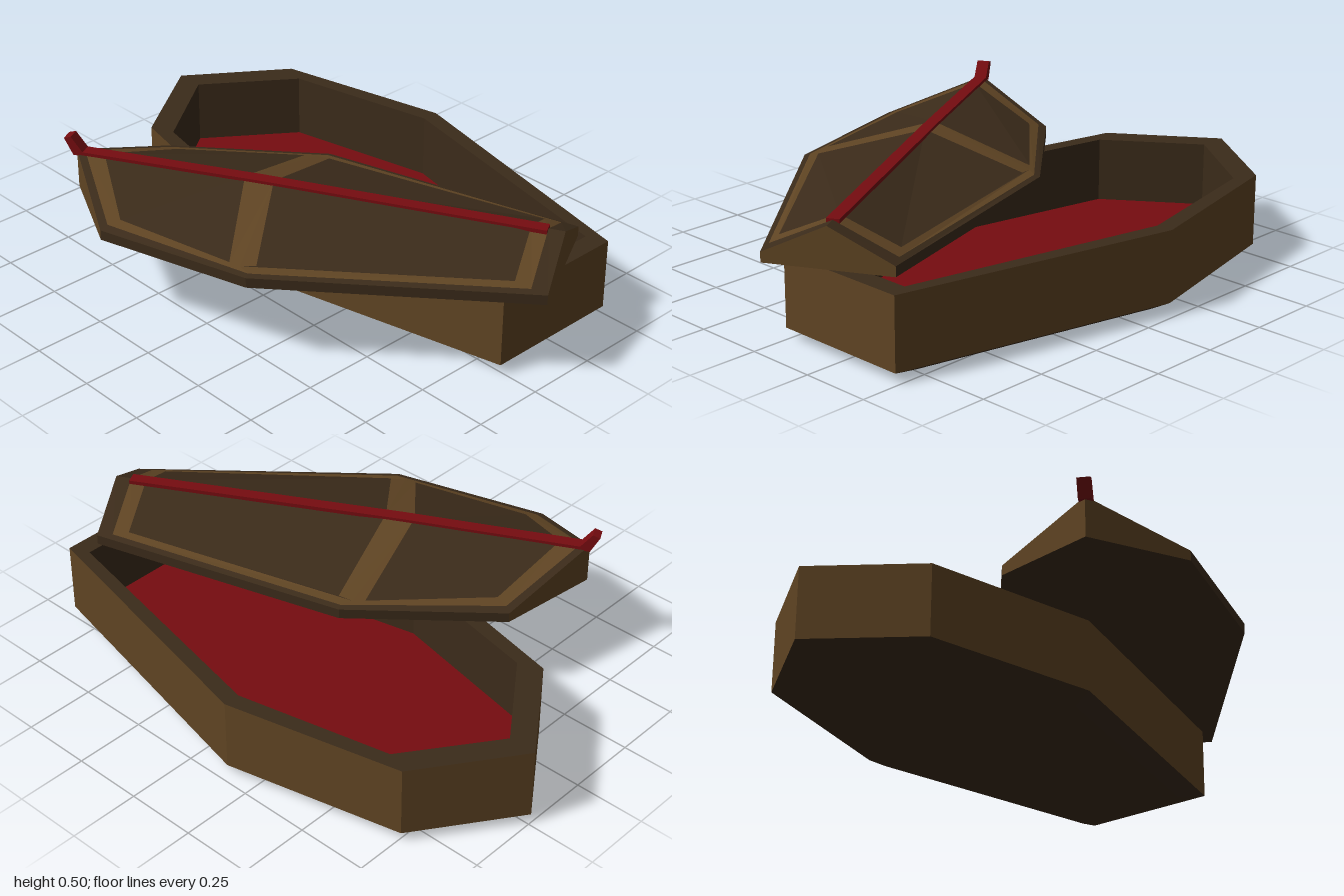
import * as THREE from 'three';

const material = (color) => new THREE.MeshStandardMaterial({ color, flatShading: true, side: THREE.DoubleSide });
const lightWood = material(0x5f4423);
const darkWood = material(0x3b2b1a);
const red = material(0x760c10);

// Mesh from a flat list of corner points, three per triangle
function mesh(name, corners, mat) {
  const geometry = new THREE.BufferGeometry().setFromPoints(corners);
  geometry.computeVertexNormals();
  const m = new THREE.Mesh(geometry, mat);
  m.name = name;
  return m;
}

// Triangles joining two lines of points
function strip(a, b, closed = false) {
  const out = [];
  const n = a.length;
  for (let i = 0; i < (closed ? n : n - 1); i++) {
    const j = (i + 1) % n;
    out.push(a[i], b[i], a[j], b[i], b[j], a[j]);
  }
  return out;
}

// Triangles filling a convex loop that runs clockwise seen from above
function fill(loop, faceUp = true) {
  const out = [];
  for (let i = 1; i < loop.length - 1; i++) {
    out.push(loop[0], ...(faceUp ? [loop[i + 1], loop[i]] : [loop[i], loop[i + 1]]));
  }
  return out;
}

// Seven-sided coffin outline: the tip, then [halfWidth, z] for head, shoulder and foot
function outline(tip, half, y) {
  const right = half.map(([x, z]) => new THREE.Vector3(x, y, z));
  const left = half.map(([x, z]) => new THREE.Vector3(-x, y, z)).reverse();
  return [new THREE.Vector3(0, y, tip), ...right, ...left];
}

function createBox() {
  const box = new THREE.Group();
  box.name = 'box';
  const outer = [[0.34, -0.76], [0.48, -0.14], [0.25, 0.86]];
  const inner = [[0.305, -0.68], [0.42, -0.14], [0.22, 0.79]];
  const base = outline(-0.87, [[0.295, -0.66], [0.415, -0.13], [0.215, 0.74]], 0);
  const wallBottom = outline(-1, outer, 0.035);
  const wallTop = outline(-1, outer, 0.287);
  const rimInner = outline(-0.9, inner, 0.287);
  const floor = outline(-0.9, inner, 0.06);
  box.add(
    mesh('boxBottom', [...fill(base, false), ...strip(base, wallBottom, true)], darkWood),
    mesh('boxWalls', strip(wallBottom, wallTop, true), lightWood),
    mesh('boxRim', strip(wallTop, rimInner, true), darkWood),
    mesh('boxInnerWalls', strip(rimInner, floor, true), darkWood),
    mesh('boxLining', fill(floor), red)
  );
  box.position.x = 0.24;
  return box;
}

// Lid: local z runs along the ridge from the head tip, local x across it
const EAVE = 0.34, UNDER = 0.305, RIDGE_MID = 0.65, LENGTH = 1.67;
const HEAD = [0.3, 0.21], SHOULDER = [0.42, 0.755], FOOT = [0.217, LENGTH];

function roofHeight(x, z) {
  const ridge = z < RIDGE_MID
    ? THREE.MathUtils.mapLinear(z, 0, RIDGE_MID, 0.446, 0.452)
    : THREE.MathUtils.mapLinear(z, RIDGE_MID, LENGTH, 0.452, 0.446);
  const [p, q] = z < SHOULDER[1] ? [HEAD, SHOULDER] : [SHOULDER, FOOT];
  const halfWidth = THREE.MathUtils.mapLinear(z, p[1], q[1], p[0], q[0]);
  return THREE.MathUtils.lerp(ridge, EAVE, x / halfWidth);
}

function createLid() {
  const lid = new THREE.Group();
  lid.name = 'lid';

  const edge = [[0, 0], HEAD, SHOULDER, FOOT, [0, LENGTH]];
  const trimOuter = [[0, 0.03], [0.275, 0.225], [0.4, 0.755], [0.21, 1.615], [0, 1.615]];
  const trimInner = [[0, 0.1], [0.25, 0.26], [0.375, 0.72], [0.198, 1.56], [0, 1.56]];
  const headPanel = [[0, 0.1], [0.25, 0.26], [0.366, 0.68], [0, 0.6]];
  const crossBand = [[0, 0.6], [0.366, 0.68], [0.375, 0.72], [0.364, 0.77], [0, 0.7]];
  const footPanel = [[0, 0.7], [0.364, 0.77], [0.198, 1.56], [0, 1.56]];

  for (const side of [1, -1]) {
    const name = side > 0 ? 'left' : 'right';
    // Points on the roof, or at a fixed height; reversed on the mirrored side
    const place = (pts, y) => {
      const out = pts.map(([x, z]) => new THREE.Vector3(side * x, y ?? roofHeight(x, z), z));
      return side > 0 ? out : out.reverse();
    };
    const eaves = [HEAD, SHOULDER, FOOT];
    const headEnd = edge.slice(0, 2), footEnd = edge.slice(3);
    lid.add(
      mesh(name + 'RoofBorder', strip(place(edge), place(trimOuter)), darkWood),
      mesh(name + 'RoofTrim', [...strip(place(trimOuter), place(trimInner)), ...fill(place(crossBand))], lightWood),
      mesh(name + 'HeadPanel', fill(place(headPanel)), darkWood),
      mesh(name + 'FootPanel', fill(place(footPanel)), darkWood),
      mesh(name + 'LidEdge', strip(place(eaves, UNDER), place(eaves, EAVE)), darkWood),
      mesh(name + 'HeadGable', strip(place(headEnd, UNDER), place(headEnd)), lightWood),
      mesh(name + 'FootGable', strip(place(footEnd, UNDER), place(footEnd)), lightWood)
    );
  }
  lid.add(mesh('lidUnderside', fill(outline(0, eavesOf(), UNDER), false), darkWood));

  // Red ridge band with an upturned hook at the head, drawn in side profile
  const profile = [
    [1.615, 0.435], [1.615, 0.45], [RIDGE_MID, 0.456], [0.03, 0.45],
    [-0.01, 0.502], [-0.035, 0.494], [-0.004, 0.435]
  ].map(([z, y]) => new THREE.Vector2(-z, y));
  const ridge = new THREE.ExtrudeGeometry(new THREE.Shape(profile), { depth: 0.044, bevelEnabled: false });
  ridge.translate(0, 0, -0.022).rotateY(Math.PI / 2);
  const band = new THREE.Mesh(ridge, red);
  band.name = 'ridgeBand';
  lid.add(band);

  lid.position.set(-0.56, 0, -0.58);
  lid.rotation.y = 0.493;
  return lid;
}

function eavesOf() {
  return [HEAD, SHOULDER, FOOT];
}

export function createModel() {
  const model = new THREE.Group();
  model.name = 'coffin';
  model.add(createBox(), createLid());
  return model;
}
